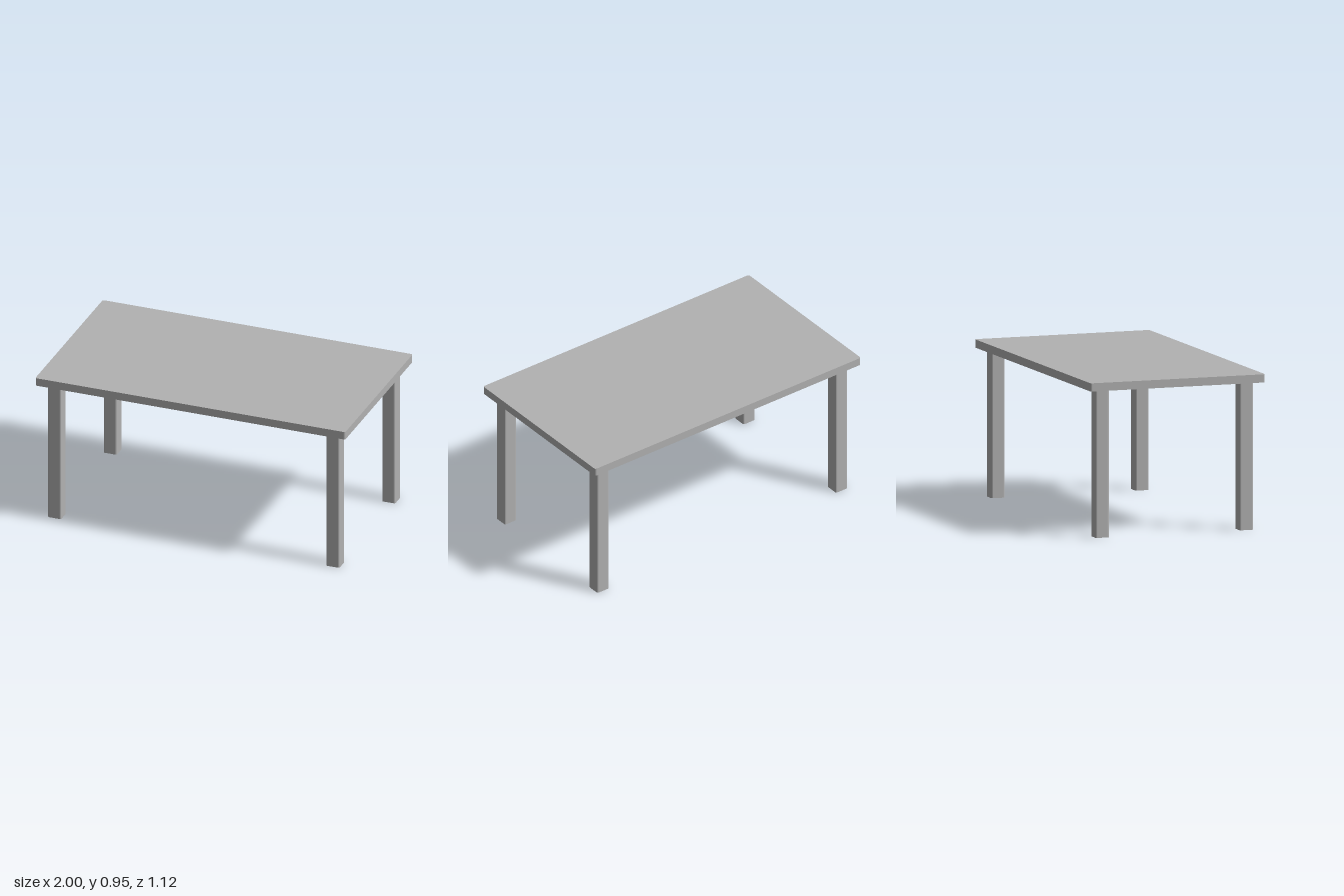
import * as THREE from 'three';

// Upright slab with rounded vertical corners, standing on y = 0
function roundedPrism(width, depth, height, radius) {
  const x = width / 2, z = depth / 2, q = Math.PI / 2;
  const shape = new THREE.Shape();
  shape.absarc(x - radius, z - radius, radius, 0, q);
  shape.absarc(radius - x, z - radius, radius, q, 2 * q);
  shape.absarc(radius - x, radius - z, radius, 2 * q, 3 * q);
  shape.absarc(x - radius, radius - z, radius, 3 * q, 4 * q);
  shape.closePath();
  const geometry = new THREE.ExtrudeGeometry(shape, { depth: height, bevelEnabled: false, curveSegments: 3 });
  return geometry.rotateX(-q);
}

export function createModel() {
  const table = new THREE.Group();
  table.name = 'table';
  const grey = new THREE.MeshStandardMaterial({ color: 0xb2b2b2 });
  grey.name = 'grey';

  // Table top
  const top = new THREE.Mesh(roundedPrism(2, 1.12, 0.05, 0.012), grey);
  top.name = 'tableTop';
  top.position.y = 0.9;
  table.add(top);

  // Four legs, set in from the corners
  const legGeometry = roundedPrism(0.086, 0.086, 0.9, 0.01);
  for (const [side, x] of [['Left', 0.898], ['Right', -0.898]]) {
    for (const [end, z] of [['front', 0.462], ['back', -0.462]]) {
      const leg = new THREE.Mesh(legGeometry, grey);
      leg.name = `${end}${side}Leg`;
      leg.position.set(x, 0, z);
      table.add(leg);
    }
  }
  return table;
}
